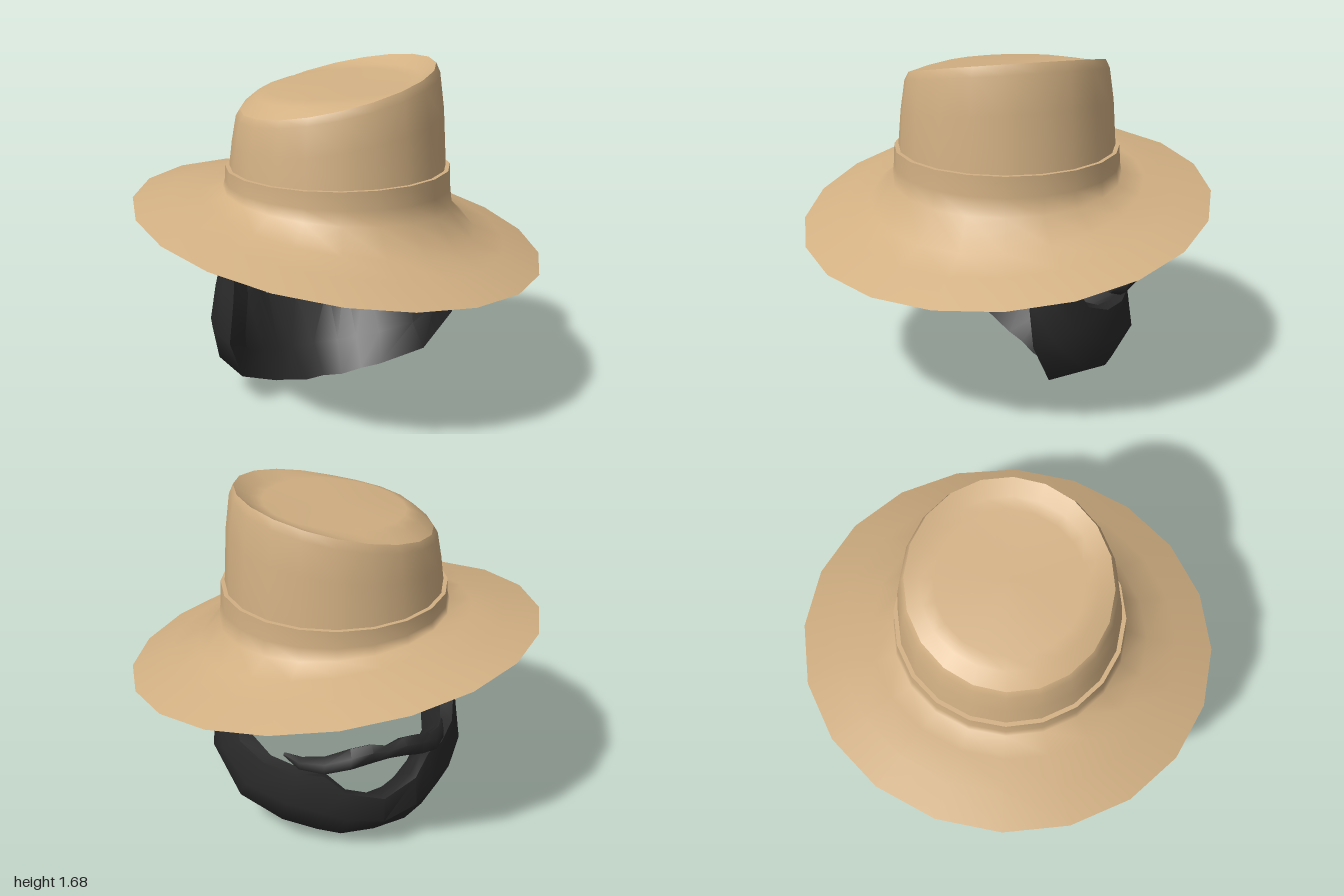
import * as THREE from 'three';
import { toCreasedNormals } from 'three/addons/utils/BufferGeometryUtils.js';

// Skin a list of closed rings of [x, y, z] points
function loft(rings) {
  const n = rings[0].length, index = [];
  for (let j = 0; j < rings.length - 1; j++) {
    for (let i = 0; i < n; i++) {
      const k = (i + 1) % n;
      const a = j * n + i, b = a + n, c = (j + 1) * n + k, d = j * n + k;
      index.push(a, b, c, a, c, d);
    }
  }
  const g = new THREE.BufferGeometry();
  g.setAttribute('position', new THREE.Float32BufferAttribute(rings.flat(2), 3));
  g.setIndex(index);
  g.computeVertexNormals();
  return g;
}

// Circle of radius r lying on the tilted plane y = h + sx*x + sz*z
function ring(r, h, sx = 0, sz = 0) {
  const pts = [];
  for (let i = 0; i < 20; i++) {
    const a = ((i * 18 - 5) * Math.PI) / 180;
    const x = r * Math.sin(a), z = r * Math.cos(a);
    pts.push([x, h + sx * x + sz * z, z]);
  }
  return pts;
}

// Collapse a ring to its centre, to close an end
function pinch(pts) {
  const c = [0, 1, 2].map((k) => pts.reduce((s, p) => s + p[k], 0) / pts.length);
  return pts.map(() => c);
}

// Stations from +x to the middle, continued by their mirror image
function mirrorStations(half) {
  const other = half.slice(0, -1).reverse().map((s) => s.map(([x, y, z]) => [-x, y, z]));
  const all = [...half, ...other];
  return [pinch(all[0]), ...all, pinch(all[all.length - 1])];
}

export function createModel() {
  const model = new THREE.Group();
  const tan = new THREE.MeshStandardMaterial({ color: 0xd2b083 });
  tan.name = 'tan felt';
  const black = new THREE.MeshStandardMaterial({ color: 0x2a2a2a });
  black.name = 'black hair';

  const add = (parent, name, geometry, material) => {
    const m = new THREE.Mesh(geometry, material);
    m.name = name;
    parent.add(m);
  };

  // Hat
  const hat = new THREE.Group();
  hat.name = 'hat';
  model.add(hat);
  const rim = (r, up) => ring(r, 0.875 + up, -0.065, -0.155);

  add(hat, 'crownTop', loft([
    ring(0, 1.58), ring(0.34, 1.58, 0.08, 0.03), ring(0.4, 1.575, 0.12, 0.05),
    ring(0.47, 1.57, 0.22, 0.1),
  ]), tan);
  add(hat, 'crownWall', loft([
    ring(0.47, 1.57, 0.22, 0.1), ring(0.49, 1.53, 0.2, 0.09),
    ring(0.512, 1.38, 0.15, 0.06), ring(0.527, 1.18),
  ]), tan);
  add(hat, 'bandLedge', loft([ring(0.52, 1.185), ring(0.547, 1.185)]), tan);
  add(hat, 'bandAndBrim', loft([
    ring(0.547, 1.185), ring(0.55, 1.1, -0.02, -0.02), ring(0.56, 1.035, -0.05, -0.06),
    rim(0.67, 0.095), rim(0.82, 0.055), rim(1, 0),
  ]), tan);
  add(hat, 'brimUnderside', loft([rim(1, 0), rim(0.83, 0.004)]), tan);
  add(hat, 'hatLining', loft([
    rim(0.83, 0.004), rim(0.81, 0.035), rim(0.6, 0.08), rim(0.3, 0.1), rim(0, 0.105),
  ]), tan);

  // Facial hair, turned away from the front
  const face = new THREE.Group();
  face.name = 'facialHair';
  face.rotation.y = (160 * Math.PI) / 180;
  model.add(face);

  // Beard sections: top, middle, lower front, bottom, inner low, inner top
  const beard = mirrorStations([
    [[0.55, 0.9, 0.06], [0.56, 0.9, 0.02], [0.56, 0.9, -0.03], [0.55, 0.9, -0.07], [0.51, 0.9, -0.06], [0.51, 0.9, 0.05]],
    [[0.57, 0.65, 0.12], [0.62, 0.63, 0.05], [0.62, 0.61, -0.03], [0.58, 0.59, -0.1], [0.5, 0.6, -0.08], [0.5, 0.66, 0.11]],
    [[0.57, 0.52, 0.2], [0.63, 0.44, 0.11], [0.64, 0.4, 0], [0.6, 0.37, -0.09], [0.51, 0.4, -0.06], [0.5, 0.53, 0.18]],
    [[0.5, 0.46, 0.33], [0.57, 0.32, 0.28], [0.57, 0.2, 0.18], [0.5, 0.14, 0.03], [0.46, 0.27, 0.08], [0.45, 0.47, 0.3]],
    [[0.38, 0.44, 0.46], [0.43, 0.28, 0.45], [0.42, 0.13, 0.36], [0.29, 0.05, 0.12], [0.32, 0.19, 0.2], [0.34, 0.44, 0.42]],
    [[0.27, 0.45, 0.54], [0.29, 0.26, 0.56], [0.28, 0.1, 0.46], [0.2, 0.025, 0.16], [0.22, 0.16, 0.27], [0.25, 0.44, 0.5]],
    [[0.18, 0.36, 0.59], [0.18, 0.22, 0.61], [0.17, 0.07, 0.5], [0.1, 0, 0.18], [0.13, 0.145, 0.31], [0.17, 0.36, 0.55]],
    [[0, 0.31, 0.63], [0, 0.18, 0.63], [0, 0.06, 0.51], [0, 0, 0.2], [0, 0.14, 0.33], [0, 0.31, 0.59]],
  ]);
  add(face, 'beard', toCreasedNormals(loft(beard), 0.85), black);

  // Moustache: x, y, z and radius of each section
  const whiskers = [
    [0.41, 0.515, 0.38, 0.01], [0.36, 0.5, 0.46, 0.035], [0.27, 0.52, 0.55, 0.05],
    [0.17, 0.565, 0.61, 0.056], [0.08, 0.595, 0.645, 0.05], [0, 0.585, 0.645, 0.035],
  ].map(([x, y, z, r]) => {
    const l = Math.hypot(x, z), pts = [];
    for (let i = 0; i < 6; i++) {
      const a = (i * Math.PI) / 3, s = r * 0.9 * Math.sin(a);
      pts.push([x + (s * x) / l, y + r * Math.cos(a), z + (s * z) / l]);
    }
    return pts;
  });
  add(face, 'moustache', toCreasedNormals(loft(mirrorStations(whiskers)), 1.1), black);

  return model;
}
